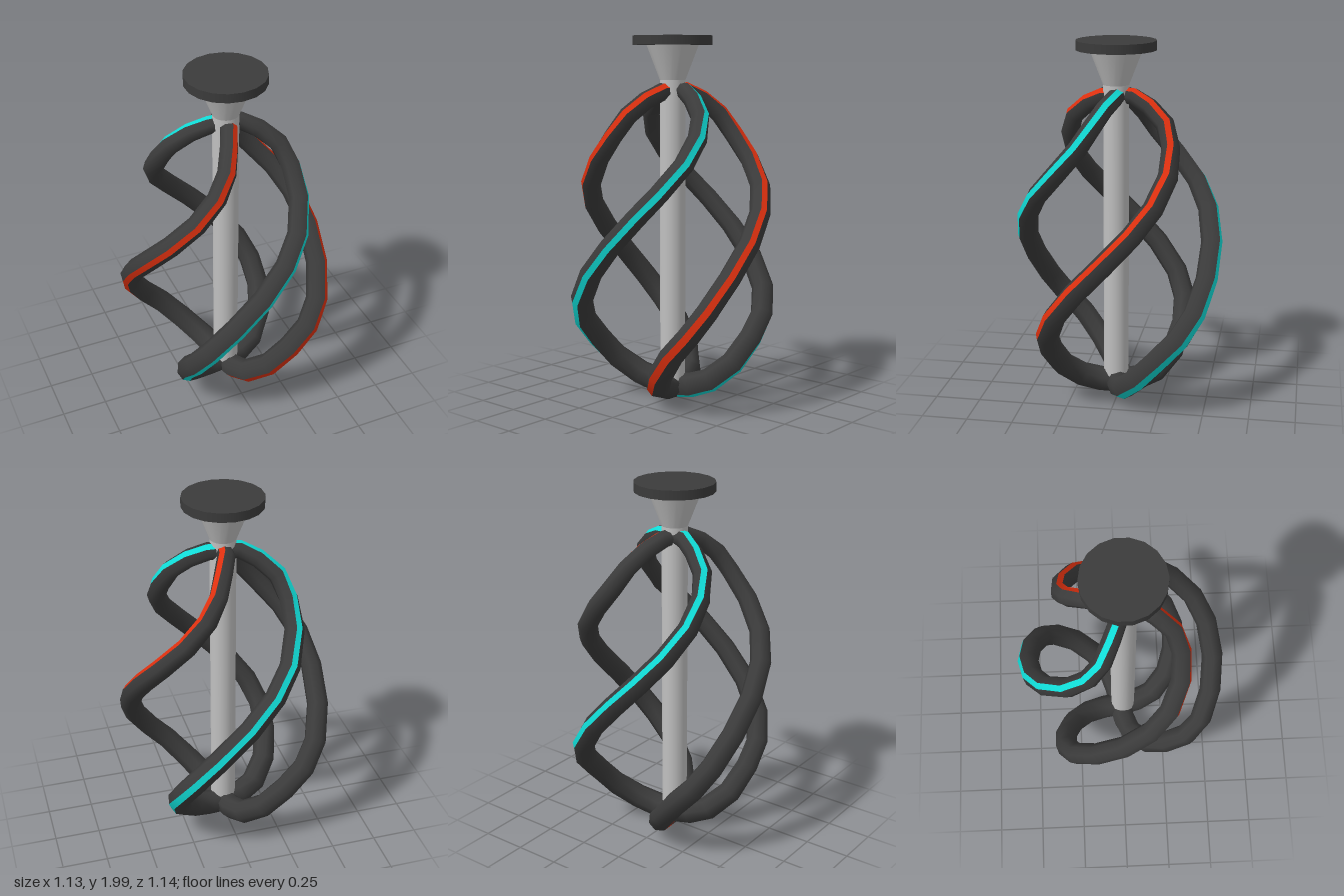
import * as THREE from 'three';

const SIDES = 8;
const CENTRE = new THREE.Vector3(0, 0.88, 0);
const { lerp, degToRad } = THREE.MathUtils;

// Centre line of one spiral blade, from the bottom hub to the top hub
const PATH = [
  [0, 0.078, 0], [0.02, 0.088, 0.1], [0.06, 0.125, 0.2], [0.15, 0.22, 0.29],
  [0.26, 0.35, 0.33], [0.37, 0.47, 0.325], [0.45, 0.6, 0.27], [0.5, 0.76, 0.15],
  [0.51, 0.92, 0], [0.475, 1.07, -0.14], [0.4, 1.2, -0.24], [0.28, 1.34, -0.3],
  [0.17, 1.47, -0.3], [0.1, 1.58, -0.26], [0.05, 1.66, -0.17], [0.01, 1.705, -0.08],
  [0, 1.71, 0],
].map((p) => new THREE.Vector3(...p));

// Value at t between bottom, middle and top
const blend = ([low, mid, top], t) =>
  t < 0.5 ? lerp(low, mid, t * 2) : lerp(mid, top, t * 2 - 1);

// Sweeps a tapering tube along the path: either its stripe facet or all the rest.
// rolls: degrees the stripe leans from straight outward at bottom, middle and top
function sweep(isStripe, rolls) {
  const pos = [], index = [], end = PATH.length - 1;
  const n = isStripe ? 2 : SIDES;
  PATH.forEach((p, i) => {
    const t = PATH[Math.min(i + 1, end)].clone().sub(PATH[Math.max(i - 1, 0)]).normalize();
    const out = p.clone().sub(CENTRE);
    out.addScaledVector(t, -out.dot(t)).normalize();
    const side = t.clone().cross(out);
    const radius = lerp(0.07, 0.046, i / end);
    const roll = blend(rolls, i / end);
    const half = blend([21, 16, 21], i / end);
    const from = isStripe ? roll - half : roll + half;
    const to = isStripe ? roll + half : roll + 360 - half;
    for (let j = 0; j < n; j++) {
      const a = degToRad(lerp(from, to, j / (n - 1)));
      const v = p.clone()
        .addScaledVector(out, radius * Math.cos(a))
        .addScaledVector(side, radius * Math.sin(a));
      pos.push(v.x, v.y, v.z);
    }
    if (i === end) return;
    for (let j = 0; j < n - 1; j++) {
      const a = i * n + j, b = a + 1, c = b + n, d = a + n;
      index.push(a, b, c, a, c, d);
    }
  });
  const g = new THREE.BufferGeometry();
  g.setAttribute('position', new THREE.Float32BufferAttribute(pos, 3));
  g.setIndex(index);
  g.computeVertexNormals();
  return g;
}

export function createModel() {
  const material = (name, color) => {
    const m = new THREE.MeshStandardMaterial({ color });
    m.name = name;
    return m;
  };
  const dark = material('charcoal', 0x3b3b3b);
  const steel = material('light grey metal', 0xc0c0c0);
  const red = material('red', 0xdd300f);
  const cyan = material('cyan', 0x10dbd6);

  const model = new THREE.Group();
  const add = (parent, name, geometry, mat) => {
    const mesh = new THREE.Mesh(geometry, mat);
    mesh.name = name;
    parent.add(mesh);
    return mesh;
  };

  // Four spiral blades; opposite blades share a stripe colour and lean opposite ways
  const blades = [
    ['leftBlade', red, [-48, -38, -25]],
    ['backBlade', cyan, [-28, -18, 2]],
    ['rightBlade', red, [45, 43, 45]],
    ['frontBlade', cyan, [2, 26, 36]],
  ];
  blades.forEach(([name, stripe, rolls], k) => {
    const blade = new THREE.Group();
    blade.name = name;
    blade.rotation.y = (k * Math.PI) / 2;
    add(blade, 'bladeTube', sweep(false, rolls), dark);
    add(blade, 'bladeStripe', sweep(true, rolls), stripe);
    model.add(blade);
  });

  // Central shaft, flared neck and rounded top cap
  const column = new THREE.Group();
  column.name = 'column';
  column.position.z = 0.015;
  const drum = (name, top, bottom, y0, y1, mat) => {
    const g = new THREE.CylinderGeometry(top, bottom, y1 - y0, 18);
    add(column, name, g, mat).position.y = (y0 + y1) / 2;
  };
  drum('shaft', 0.07, 0.07, 0.1, 1.77, steel);
  drum('flaredNeck', 0.145, 0.06, 1.74, 1.96, steel);
  drum('topCap', 0.215, 0.215, 1.95, 2, dark);
  model.add(column);

  return model;
}
